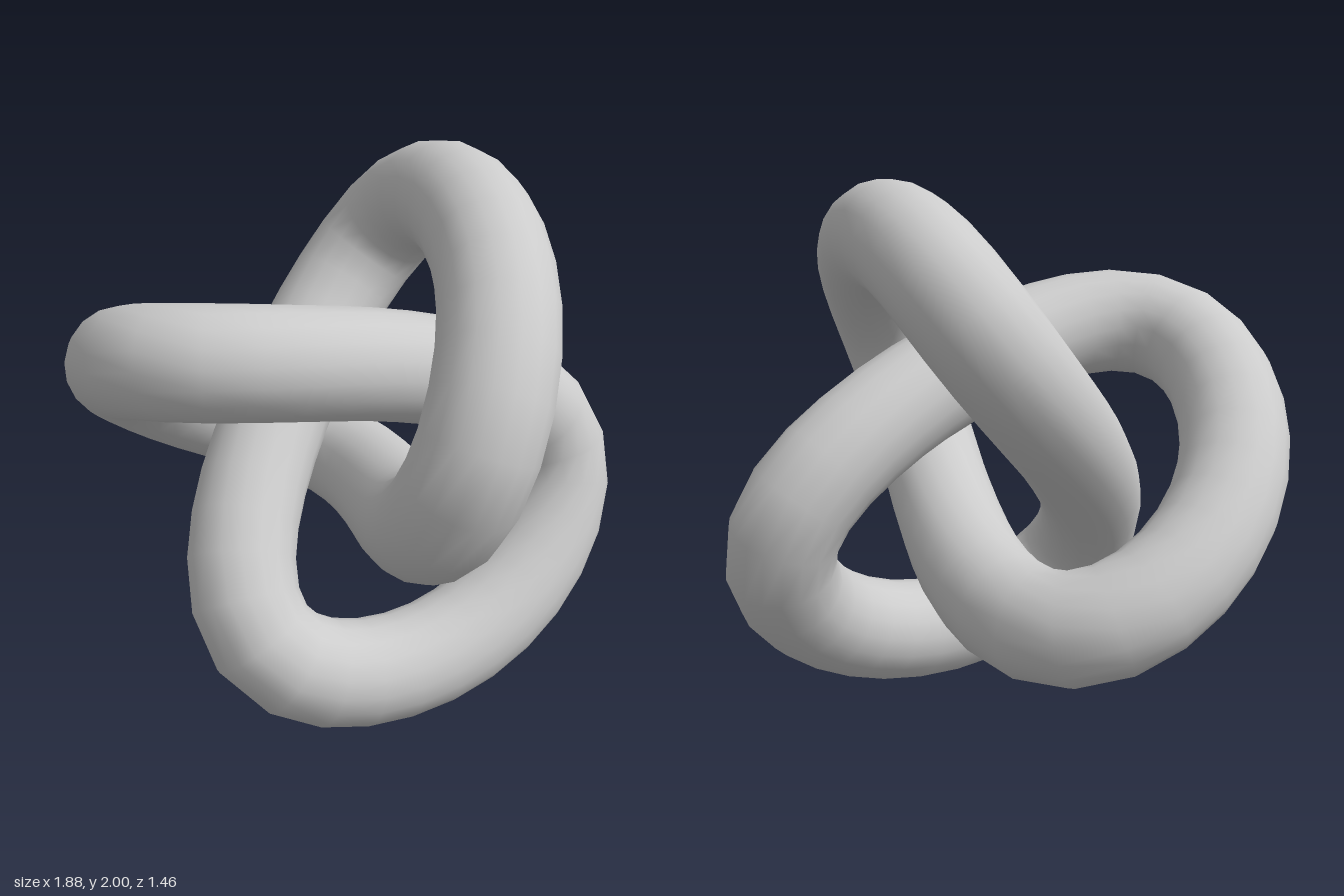
import * as THREE from 'three';

// Closed three-lobed trefoil path, one lobe pointing to -x
class TrefoilCurve extends THREE.Curve {
  getPoint(u, target = new THREE.Vector3()) {
    const t = u * Math.PI * 2;
    const a = 0.275, b = 0.603;
    return target.set(
      0.132 + a * Math.cos(t) - b * Math.cos(2 * t),
      1 + a * Math.sin(t) + b * Math.sin(2 * t),
      -(0.527 * Math.sin(3 * t) + 0.06 * Math.sin(6 * t))
    );
  }
}

export function createModel() {
  const group = new THREE.Group();
  group.name = 'trefoilKnot';

  // Round tube swept along the knot
  const material = new THREE.MeshStandardMaterial({ color: 0xcccccc });
  const geometry = new THREE.TubeGeometry(new TrefoilCurve(), 72, 0.194, 18, true);
  const tube = new THREE.Mesh(geometry, material);
  tube.name = 'knotTube';
  group.add(tube);

  return group;
}
